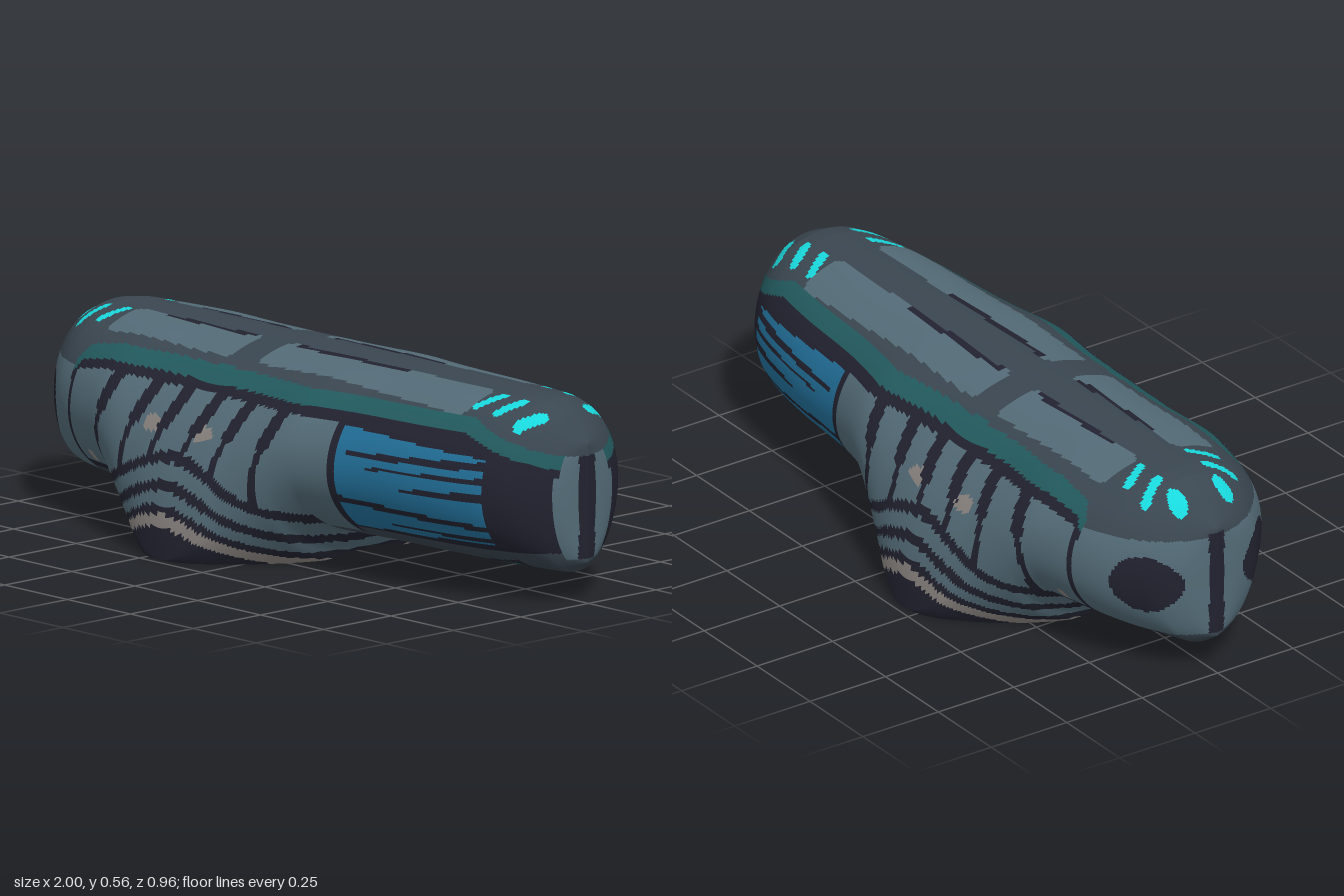
import * as THREE from 'three';

const COLORS = { slate: 0x3a4650, panel: 0x536b77, dark: 0x222230, teal: 0x225a5e, blue: 0x22709a, cyan: 0x18d8dc, taupe: 0x8a8480 };

const FLARE_X = -0.2; // centre of the flared skirt
const smooth = (a, b, v) => THREE.MathUtils.smoothstep(v, a, b);

// piecewise linear lookup through [x, y] pairs
function lookup(points, x) {
  for (let i = 1; i < points.length; i++) {
    const [x0, y0] = points[i - 1], [x1, y1] = points[i];
    if (x <= x1) return y0 + (y1 - y0) * (x - x0) / (x1 - x0);
  }
  return points[points.length - 1][1];
}

// half width of the hull along its length
const PLAN = [[-1, 0], [-0.985, 0.09], [-0.95, 0.16], [-0.9, 0.21], [-0.82, 0.27], [-0.73, 0.31], [-0.6, 0.35],
  [-0.4, 0.42], [-0.3, 0.46], [-0.2, 0.478], [-0.1, 0.465], [0, 0.43], [0.15, 0.383], [0.35, 0.333], [0.6, 0.303],
  [0.75, 0.273], [0.84, 0.24], [0.92, 0.185], [0.98, 0.1], [1, 0]];
const TOP_END = [[0, 0.557], [0.82, 0.557], [0.87, 0.55], [0.93, 0.52], [1, 0.44]];
const BOTTOM_END = [[0, 0.08], [0.95, 0.08], [1, 0.115]];

// helpers for the painted regions
const inBox = (x, y, x0, x1, y0, y1) => x > x0 && x < x1 && y > y0 && y < y1;
const inOval = (x, y, cx, cy, rx, ry) => ((x - cx) / rx) ** 2 + ((y - cy) / ry) ** 2 < 1;
function inStroke(x, y, [ax, ay, bx, by, ra, rb]) {
  const dx = bx - ax, dy = by - ay;
  const t = THREE.MathUtils.clamp(((x - ax) * dx + (y - ay) * dy) / (dx * dx + dy * dy), 0, 1);
  return Math.hypot(x - ax - t * dx, y - ay - t * dy) < ra + (rb - ra) * t;
}
// rounded panel
function inPanel(x, z, x0, x1, z0, z1, r = 0.025) {
  const qx = Math.max(x0 + r - x, x - x1 + r, 0), qz = Math.max(z0 + r - z, z - z1 + r, 0);
  return Math.hypot(qx, qz) < r;
}

const TICKS = [-0.85, -0.77, 0.73, 0.81, 0.89].map(x => [x - 0.015, 0.145, x + 0.02, 0.08, 0.014, 0.014]);
const RIBS = [-0.555, -0.405, -0.28, -0.155, -0.03, 0.11];
const WINDOW_LINES = [[0.38, 0.365, 0.84, 0.385, 0.006, 0.012], [0.58, 0.29, 0.84, 0.30, 0.005, 0.013],
  [0.34, 0.235, 0.84, 0.21, 0.009, 0.008], [0.45, 0.335, 0.84, 0.345, 0.003, 0.008], [0.5, 0.18, 0.84, 0.175, 0.004, 0.008]];
// skirt stripes, upper limit of each
const STRIPES = [[0.09, 'dark'], [0.125, 'taupe'], [0.15, 'dark'], [0.185, 'panel'], [0.215, 'dark'], [0.26, 'panel'], [0.29, 'dark']];

// roof and deck paint
function roofPart(x, z) {
  if (TICKS.some(t => inStroke(x, z, t)) || inOval(x, z, -0.915, 0.075, 0.035, 0.025)) return ['lightMarks', 'cyan'];
  if (inPanel(x, z, -0.72, -0.22, 0.06, 0.19) || inPanel(x, z, -0.12, 0.7, 0.06, 0.19)) {
    const groove = inBox(x, z, -0.6, -0.25, 0.06, 0.075) || inBox(x, z, -0.08, 0.36, 0.06, 0.08);
    return groove ? ['roofGrooves', 'dark'] : ['roofPanels', 'panel'];
  }
  return ['hull', 'slate'];
}

// side paint below the roof band
function sidePart(x, y, z) {
  const d = Math.abs(x - FLARE_X);
  const u = y + 0.13 * smooth(0, 0.4, d);
  if (d < 0.41 && u < 0.29) return ['skirtStripes', STRIPES.find(s => u < s[0])[1]];

  // underside
  if (y < 0.125) {
    for (const ex of [0.8, -0.84]) {
      if (inBox(x, z, ex - 0.04, ex + 0.04, 0.05, 0.11)) return ['undersideLights', 'teal'];
      if (inBox(x, z, ex - 0.065, ex + 0.065, 0.03, 0.13)) return ['undersideFrames', 'dark'];
    }
    if (inOval(x, z, -0.68, 0.13, 0.04, 0.03)) return ['undersideVents', 'dark'];
    return ['hull', 'slate'];
  }
  // nose and tail
  if (x > 0.975) return z < 0.03 ? ['endSeam', 'dark'] : ['endPanels', 'panel'];
  if (x < -0.745) {
    if (inOval(x, y, -0.915, 0.29, 0.068, 0.085)) return ['endVents', 'dark'];
    if (x < -0.985 && z < 0.025) return ['endSeam', 'dark'];
    return ['endPanels', y < 0.42 ? 'panel' : 'slate'];
  }
  // glazed bay
  if (x > 0.335) {
    if (y < 0.145) return ['hull', 'slate'];
    if (x < 0.835 && x > 0.345 && y < 0.435 - 0.06 * (x - 0.34) && y > 0.15 + 0.03 * (x - 0.34)
      && !WINDOW_LINES.some(l => inStroke(x, y, l))) return ['windows', 'blue'];
    return ['windowSurround', 'dark'];
  }
  // curved side plates and the ribs between them
  const bow = 0.025 * Math.sin((y - 0.1) * 12);
  const ribbed = RIBS.some(r => Math.abs(x - r + bow) < 0.011 + 0.012 * smooth(0.34, 0.24, y));
  if (ribbed || x < -0.725 || x > 0.325) return ['ribs', 'dark'];
  if (x < -0.58 && y < 0.16) return y > 0.14 ? ['ribs', 'dark'] : ['hull', 'slate'];
  if (inOval(x, y, -0.33, 0.345, 0.035, 0.022) || inOval(x, y, -0.13, 0.345, 0.045, 0.02)
    || inOval(x, y, -0.67, 0.185, 0.015, 0.018)) return ['plateSpots', 'taupe'];
  return ['sidePlates', 'panel'];
}

function partAt(x, y, z) {
  const band = lookup([[-1, 0.43], [-0.76, 0.43], [-0.72, 0.48], [-0.6, 0.5], [0.75, 0.5], [0.97, 0.42], [1, 0.41]], x);
  if (y > band) return roofPart(x, z);
  if (x > -0.75 && x < 0.98) {
    if (y > band - 0.037) return ['roofBand', 'teal'];
    if (y > band - 0.06) return ['bandShadowLine', 'dark'];
  }
  return sidePart(x, y, z);
}

export function createModel() {
  const group = new THREE.Group();
  const materials = {};
  for (const [name, color] of Object.entries(COLORS)) {
    materials[name] = new THREE.MeshStandardMaterial({ color, side: THREE.DoubleSide });
    materials[name].name = name;
  }

  // hull cross-sections, open below the skirt
  const COLS = 290, LOW = 45, HIGH = 60, ROWS = 2 * (LOW + HIGH);
  const plan = new THREE.CatmullRomCurve3(PLAN.map(([x, w]) => new THREE.Vector3(x, w, 0)));
  const positions = [];
  for (const { x, y: planWidth } of plan.getSpacedPoints(COLS)) {
    const width = Math.max(planWidth, 0), d = Math.abs(x - FLARE_X);
    const top = lookup(TOP_END, Math.abs(x));
    const bottom = lookup(BOTTOM_END, Math.abs(x)) * THREE.MathUtils.clamp((d - 0.32) / 0.08, 0, 1);
    const middle = Math.min(0.31, 0.31 * smooth(0, 0.42, d));
    const cut = Math.min(1, Math.max(d / 0.34, 0.001));
    const start = Math.acos(cut);
    for (let j = 0; j <= ROWS; j++) {
      const k = Math.min(j, ROWS - j);
      const a = k < LOW ? start + (Math.PI / 2 - start) * k / LOW : Math.PI / 2 * (1 + (k - LOW) / HIGH);
      const c = Math.cos(a);
      const y = k < LOW ? middle - (middle - bottom) * c / cut : middle - (top - middle) * c;
      const z = width * Math.pow(Math.max(Math.sin(a), 0), 0.94);
      positions.push(x, y, j <= ROWS / 2 ? z : -z);
    }
  }

  // sort the faces into painted parts
  const parts = new Map(), all = [];
  for (let i = 0; i < COLS; i++) {
    for (let j = 0; j < ROWS; j++) {
      const a = i * (ROWS + 1) + j, b = a + ROWS + 1;
      const mid = n => (positions[3 * a + n] + positions[3 * (b + 1) + n]) / 2;
      const [name, color] = partAt(mid(0), mid(1), Math.abs(mid(2)));
      const key = name + '/' + color;
      if (!parts.has(key)) parts.set(key, { name, color, index: [] });
      const faces = [a, b, b + 1, a, b + 1, a + 1];
      parts.get(key).index.push(...faces);
      all.push(...faces);
    }
  }
  const shell = new THREE.BufferGeometry();
  shell.setAttribute('position', new THREE.Float32BufferAttribute(positions, 3));
  shell.setIndex(all);
  shell.computeVertexNormals();

  // one mesh for each part, sharing the smooth shell
  for (const { name, color, index } of parts.values()) {
    const geometry = new THREE.BufferGeometry();
    geometry.setAttribute('position', shell.attributes.position);
    geometry.setAttribute('normal', shell.attributes.normal);
    geometry.setIndex(index);
    const mesh = new THREE.Mesh(geometry, materials[color]);
    mesh.name = name;
    group.add(mesh);
  }
  return group;
}
